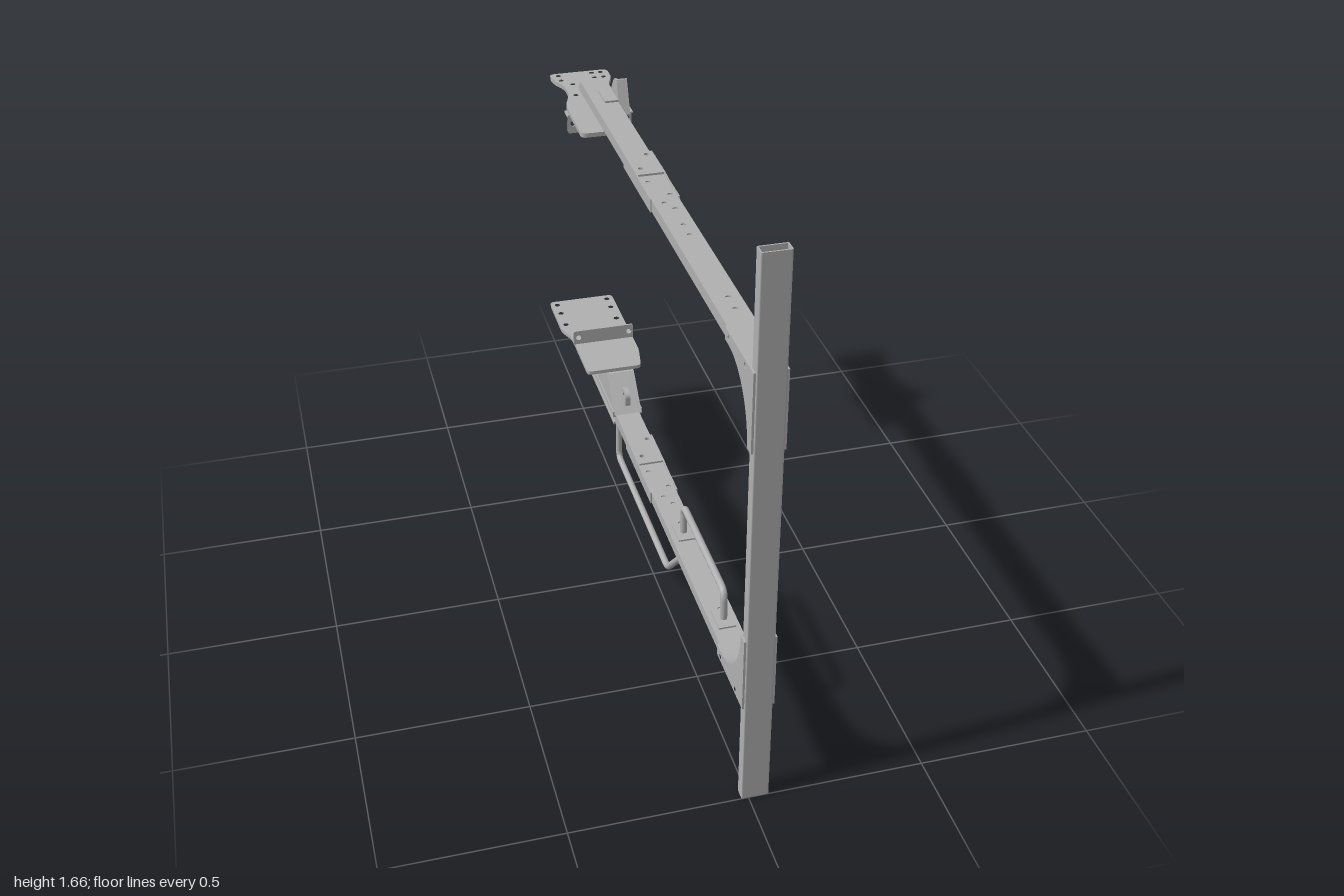
import * as THREE from 'three';

const steel = new THREE.MeshStandardMaterial({ color: 0xb0b0b0 });
steel.name = 'steel grey';

// Polygon outline with rounded corners and round holes [u, v, radius]
function outline(pts, r = 0, holes = []) {
  const v = pts.map((p) => new THREE.Vector2(...p));
  const s = new THREE.Shape();
  v.forEach((p, i) => {
    const prev = v[(i + v.length - 1) % v.length], next = v[(i + 1) % v.length];
    const near = (q) => p.clone().lerp(q, Math.min(0.5, r / p.distanceTo(q)));
    const a = near(prev), b = near(next);
    if (i === 0) s.moveTo(a.x, a.y); else s.lineTo(a.x, a.y);
    if (r > 0) s.quadraticCurveTo(p.x, p.y, b.x, b.y);
  });
  s.closePath();
  for (const [x, y, hr] of holes) {
    const h = new THREE.Path();
    h.absarc(x, y, hr, 0, Math.PI * 2, true);
    s.holes.push(h);
  }
  return s;
}

const rect = (u0, u1, v0, v1) => [[u0, v0], [u1, v0], [u1, v1], [u0, v1]];
const extrude = (shape, depth) =>
  new THREE.ExtrudeGeometry(shape, { depth, bevelEnabled: false, curveSegments: 8 });

export function createModel() {
  const model = new THREE.Group();
  model.name = 'supportFrame';

  const add = (name, geo) => {
    const m = new THREE.Mesh(geo, steel);
    m.name = name;
    model.add(m);
    return m;
  };
  const box = (name, x0, x1, y0, y1, z0, z1) =>
    add(name, new THREE.BoxGeometry(x1 - x0, y1 - y0, z1 - z0)
      .translate((x0 + x1) / 2, (y0 + y1) / 2, (z0 + z1) / 2));
  // Outline in (z, y), spanning x0..x1
  const side = (name, shape, x0, x1) =>
    add(name, extrude(shape, x1 - x0).rotateY(-Math.PI / 2).translate(x1, 0, 0));
  // Outline in (x, z), spanning y0..y1
  const flat = (name, shape, y0, y1) =>
    add(name, extrude(shape, y1 - y0).rotateX(Math.PI / 2).translate(0, y1, 0));
  // Outline in (x, y), spanning z0..z1
  const upright = (name, shape, z0, z1) =>
    add(name, extrude(shape, z1 - z0).translate(0, 0, z0));

  const L = -0.02, R = 0.057, W = 0.004;

  // Hollow post
  const post = outline(rect(L, R, 0.965, 1), 0.004);
  post.holes.push(outline(rect(L + W, R - W, 0.969, 0.996)));
  flat('post', post, 0, 1.66);

  // Hollow beams with drilled top walls
  const drilled = [[0.04, -0.23], [0, -0.14], [0, -0.06], [0.04, 0.03], [0.01, 0.08], [0.03, 0.12],
    [0.025, 0.22], [0.025, 0.28], [0.025, 0.63], [0.025, 0.69]];
  const beam = (name, y0, y1, zBottom, zTop) => {
    const wall = outline([[0.965, y0], [0.965, y1], [zTop, y1], [zBottom, y0]]);
    side(name + 'RightWall', wall, L, L + W);
    side(name + 'LeftWall', wall, R - W, R);
    box(name + 'Floor', L, R, y0, y0 + W, zBottom, 0.965);
    flat(name + 'Top', outline(rect(L, R, zTop, 0.965), 0,
      drilled.map(([x, z]) => [x, z, 0.008])), y1 - W, y1);
  };
  beam('upperBeam', 1.308, 1.343, -0.86, -0.83);
  beam('lowerBeam', 0.32, 0.353, -0.8, -0.83);

  // Curved corner gussets; dir is the way the post leg points
  const gusset = (name, yEdge, dir) => {
    const y = (d) => yEdge + dir * d;
    const curve = [];
    for (let i = 0; i <= 14; i++) {
      const a = (i / 14) * Math.PI / 2;
      curve.push([0.8 + 0.165 * Math.sin(a), y(0.035 + 0.19 * (1 - Math.cos(a)))]);
    }
    // Side cheeks, drilled for bolts
    const cheek = outline([[0.77, y(0)], [0.77, y(0.035)], ...curve, [0.995, y(0.225)], [0.995, y(0)]], 0,
      [[0.93, y(0.017), 0.008], [0.8, y(0.017), 0.008]]);
    side(name + 'RightCheek', cheek, -0.026, L);
    side(name + 'LeftCheek', cheek, R, 0.063);
    // Curved web between the cheeks
    side(name + 'Web', outline([...curve, [0.965, y(0.035)]]), L, R);
  };
  gusset('upperGusset', 1.345, -1);
  gusset('lowerGusset', 0.318, 1);

  // Splice sleeves at mid-beam
  for (const [name, y0, y1] of [['upperSleeve', 1.306, 1.343], ['lowerSleeve', 0.318, 0.353]]) {
    for (const [x0, x1] of [[L - 0.004, L], [R, R + 0.004]])
      side(name + 'Cheek', outline([[0.055, y0], [0.055, y1 + 0.003], [-0.05, y1 + 0.003],
        [-0.1, y1 + 0.007], [-0.25, y1 + 0.007], [-0.25, y0]]), x0, x1);
    flat(name + 'Cap', outline(rect(L, R, -0.25, -0.1), 0,
      [[0.04, -0.23, 0.008], [0, -0.14, 0.008]]), y1, y1 + 0.006);
  }
  // Small foot below the lower sleeve
  side('sleeveFoot', outline([[0.05, 0.32], [0.04, 0.304], [-0.04, 0.304], [-0.05, 0.32]]), L + 0.005, R - 0.005);

  // Upper mounting plate with waisted sides
  flat('upperPlate', outline([[-0.09, -0.51], [0.055, -0.51], [0.06, -0.6], [0.1, -0.7], [0.085, -0.8],
    [0.082, -0.88], [0.105, -0.93], [0.105, -1], [-0.088, -1], [-0.08, -0.94], [-0.058, -0.89],
    [-0.06, -0.82], [-0.088, -0.74]], 0.02,
  [-0.98, -0.94].flatMap((z) => [-0.06, 0.05, 0.08].map((x) => [x, z, 0.008]))
    .concat([[-0.03, -0.9, 0.008], [0.05, -0.9, 0.008], [-0.04, -0.81, 0.008], [0.07, -0.87, 0.006]])), 1.293, 1.307);

  // Lower mounting plate, tapered towards the post
  flat('lowerPlate', outline([[-0.09, -0.5], [0.09, -0.5], [0.108, -0.6], [0.108, -0.985], [-0.113, -0.985],
    [-0.113, -0.79], [-0.09, -0.73]], 0.015,
  [-0.96, -0.9, -0.82].flatMap((z) => [-0.092, 0.085].map((x) => [x, z, 0.009]))), 0.456, 0.468);

  // Cross angles on both plates
  const cross = (name, y0, y1, f0, f1) => {
    const ym = (y0 + y1) / 2;
    upright(name + 'Face', outline(rect(-0.095, 0.11, y0, y1), 0.008,
      [[-0.078, ym, 0.009], [0.095, ym, 0.009]]), -0.688, -0.683);
    box(name + 'Flange', -0.095, 0.11, f0, f1, -0.73, -0.683);
  };
  cross('upperCrossAngle', 1.235, 1.298, 1.286, 1.293);
  cross('lowerCrossAngle', 0.466, 0.517, 0.468, 0.474);

  // Folded fin on the upper arm
  const fin = [[-0.62, 1.307], [-0.66, 1.41], [-0.695, 1.4], [-0.732, 1.355], [-0.735, 1.307]];
  side('finSide', outline(fin, 0.012), 0.057, 0.062);
  side('finFront', outline([[-0.62, 1.307], [-0.66, 1.407], [-0.667, 1.407], [-0.627, 1.307]]), 0.057, 0.09);
  side('finFoot', outline(rect(-0.735, -0.625, 1.307, 1.312)), 0.057, 0.1);
  box('finTopTab', 0.015, 0.06, 1.343, 1.349, -0.735, -0.64);

  // Riser under the lower plate: cheeks, sloped front, sloped rear
  const riser = outline([[-0.39, 0.357], [-0.49, 0.456], [-0.925, 0.456], [-0.83, 0.357]]);
  side('riserRightCheek', riser, -0.026, -0.02);
  side('riserLeftCheek', riser, 0.057, 0.063);
  side('riserFront', outline([[-0.39, 0.357], [-0.49, 0.456], [-0.497, 0.456], [-0.397, 0.357]]), L, R);
  side('riserRear', outline([[-0.79, 0.32], [-0.925, 0.456], [-0.942, 0.456], [-0.803, 0.318]]), -0.026, 0.063);
  // Channel rails along the beam end
  for (const [x0, x1] of [[-0.03, -0.02], [0.057, 0.067]]) {
    box('riserRail', x0, x1, 0.345, 0.365, -0.83, -0.4);
    box('beamEndRail', x0 + 0.002, x1 - 0.002, 0.317, 0.327, -0.8, -0.4);
  }
  // Lug on the riser front
  side('lug', outline([[-0.39, 0.385], [-0.39, 0.425], [-0.41, 0.437], [-0.435, 0.43], [-0.46, 0.42], [-0.43, 0.385]],
    0.01, [[-0.415, 0.413, 0.01]]), 0.01, 0.026);

  // Bent bars with rounded corners
  const bar = (name, pts, x, r = 0.03) => {
    const v = pts.map(([z, y]) => new THREE.Vector3(x, y, z));
    const path = new THREE.CurvePath();
    let from = v[0];
    for (let i = 1; i < v.length - 1; i++) {
      const a = v[i].clone().add(v[i - 1].clone().sub(v[i]).setLength(r));
      const b = v[i].clone().add(v[i + 1].clone().sub(v[i]).setLength(r));
      path.add(new THREE.LineCurve3(from, a));
      path.add(new THREE.QuadraticBezierCurve3(a, v[i], b));
      from = b;
    }
    path.add(new THREE.LineCurve3(from, v[v.length - 1]));
    add(name, new THREE.TubeGeometry(path, 160, 0.0105, 12));
  };
  bar('topHandle', [[0.675, 0.35], [0.675, 0.45], [0.268, 0.45], [0.268, 0.35]], 0.02);
  bar('lowerGuardBar', [[0.265, 0.33], [0.265, 0.27], [0.06, 0.065], [-0.573, 0.065], [-0.573, 0.36]], 0.03);

  // Handle feet and guard bar strap
  for (const z of [0.675, 0.268]) box('handleFoot', -0.005, 0.045, 0.353, 0.358, z - 0.04, z + 0.04);
  box('guardBarStrap', 0.02, 0.07, 0.315, 0.37, -0.597, -0.548);
  box('guardBarTab', 0.063, 0.068, 0.37, 0.425, -0.58, -0.566);

  return model;
}
